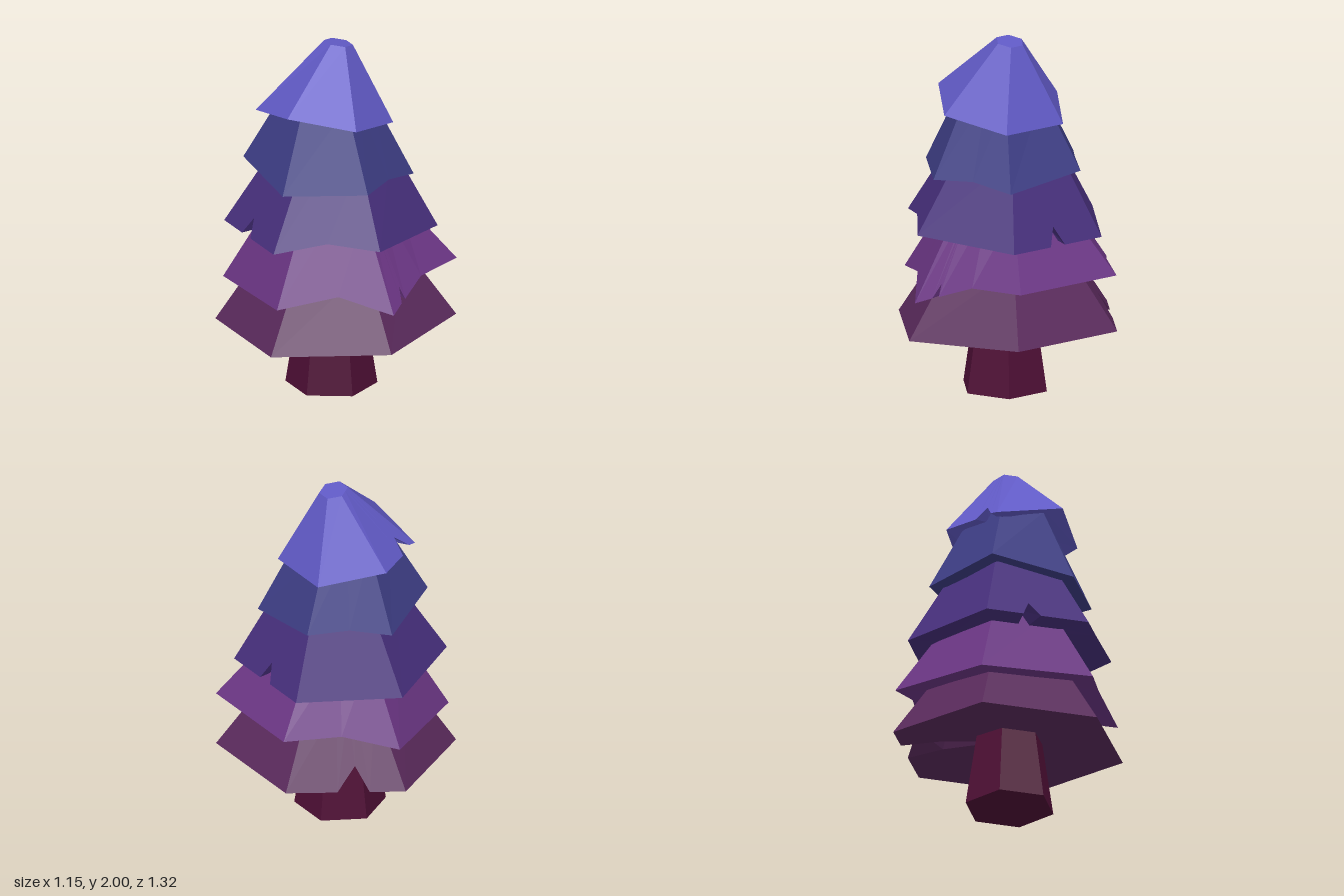
import * as THREE from 'three';

const mix = (a, b, t) => a.clone().lerp(b, t);

// Six corners, starting at the front and turning towards +x.
function hexagon(cx, cz, r, yAt) {
  return Array.from({ length: 6 }, (_, k) => {
    const a = k * Math.PI / 3;
    const x = cx + r * Math.sin(a);
    return new THREE.Vector3(x, yAt(k, x), cz + r * Math.cos(a));
  });
}

// Point on a hexagon outline; t runs from 0 to 6, one unit per edge.
function along(hex, t) {
  const k = Math.floor(t);
  return mix(hex[k % 6], hex[(k + 1) % 6], t - k);
}

// A tier of branches: tapered hexagonal skirt with a ragged, notched rim and a closed underside.
function branchTier({ name, color, centre, radius, heights, top, cuts }) {
  const low = hexagon(centre, 0, radius, k => heights[k]);
  const high = hexagon(top.x, 0, top.r, (k, x) => top.y - (top.tilt || 0) * (x - top.x));

  // rim: the corners plus extra points [position, lift towards the top]
  const marks = [...[0, 1, 2, 3, 4, 5].map(k => [k, 0]), ...cuts].sort((a, b) => a[0] - b[0]);
  const upper = marks.map(([t]) => along(high, t));
  const rim = marks.map(([t, lift], i) => mix(along(low, t), upper[i], lift));

  const baseY = heights.reduce((s, y) => s + y, 0) / 6;
  const under = new THREE.Vector3(centre, baseY + 0.04, 0);
  const inner = rim.map(p => new THREE.Vector3(
    centre + (p.x - centre) * 0.65, p.y + 0.025, p.z * 0.65));
  const cap = new THREE.Vector3(top.x, top.y, 0);

  const points = [];
  for (let i = 0; i < rim.length; i++) {
    const j = (i + 1) % rim.length;
    points.push(rim[i], rim[j], upper[j], rim[i], upper[j], upper[i]); // outer side
    points.push(upper[i], upper[j], cap);                              // top
    points.push(rim[j], rim[i], inner[i], rim[j], inner[i], inner[j]); // lower lip
    points.push(inner[j], inner[i], under);                            // underside
  }
  const geometry = new THREE.BufferGeometry().setFromPoints(points);
  geometry.computeVertexNormals();
  const mesh = new THREE.Mesh(geometry, new THREE.MeshStandardMaterial({ color, flatShading: true }));
  mesh.name = name;
  return mesh;
}

const tiers = [
  {
    name: 'lowestBranches', color: 0x5a2a5c, centre: 0, radius: 0.66,
    heights: [0.38, 0.405, 0.405, 0.38, 0.355, 0.355],
    top: { x: 0, r: 0.37, y: 0.8 },
    cuts: [[2.43, 0], [2.6, 0.3], [2.7, 0]],
  },
  {
    name: 'lowerBranches', color: 0x6a3583, centre: 0.025, radius: 0.64,
    heights: [0.6, 0.73, 0.73, 0.645, 0.6, 0.62],
    top: { x: 0.005, r: 0.33, y: 1.1 },
    cuts: [[0.15, 0.04], [0.19, 0.19], [0.21, 0.05], [0.52, 0.12], [2.5, 0.1], [5.53, 0.16]],
  },
  {
    name: 'middleBranches', color: 0x472f7c, centre: -0.03, radius: 0.585,
    heights: [0.965, 0.93, 0.93, 0.93, 0.94, 0.94],
    top: { x: -0.01, r: 0.31, y: 1.4 },
    cuts: [[1.42, 0], [1.5, 0.21], [1.58, 0], [4.36, 0], [4.43, 0.2], [4.53, 0], [5.5, 0.1]],
  },
  {
    name: 'upperBranches', color: 0x3d3d84, centre: -0.045, radius: 0.467,
    heights: [1.26, 1.235, 1.29, 1.265, 1.32, 1.245],
    top: { x: -0.055, r: 0.24, y: 1.7 },
    cuts: [[0.5, 0.06], [2.5, 0.06]],
  },
  {
    name: 'topBranches', color: 0x615ac6, centre: -0.07, radius: 0.377,
    heights: [1.605, 1.54, 1.54, 1.61, 1.6, 1.675],
    top: { x: 0.017, r: 0.079, y: 1.987, tilt: 0.19 },
    cuts: [[3.58, 0], [3.74, 0.22], [3.87, 0.03]],
  },
];

export function createModel() {
  const tree = new THREE.Group();
  tree.name = 'tree';

  // trunk
  const trunk = new THREE.Mesh(
    new THREE.CylinderGeometry(0.16, 0.252, 0.6, 6),
    new THREE.MeshStandardMaterial({ color: 0x4f0f36, flatShading: true }));
  trunk.name = 'trunk';
  trunk.position.set(-0.027, 0.3, 0);
  tree.add(trunk);

  // branches
  for (const tier of tiers) tree.add(branchTier(tier));
  return tree;
}
